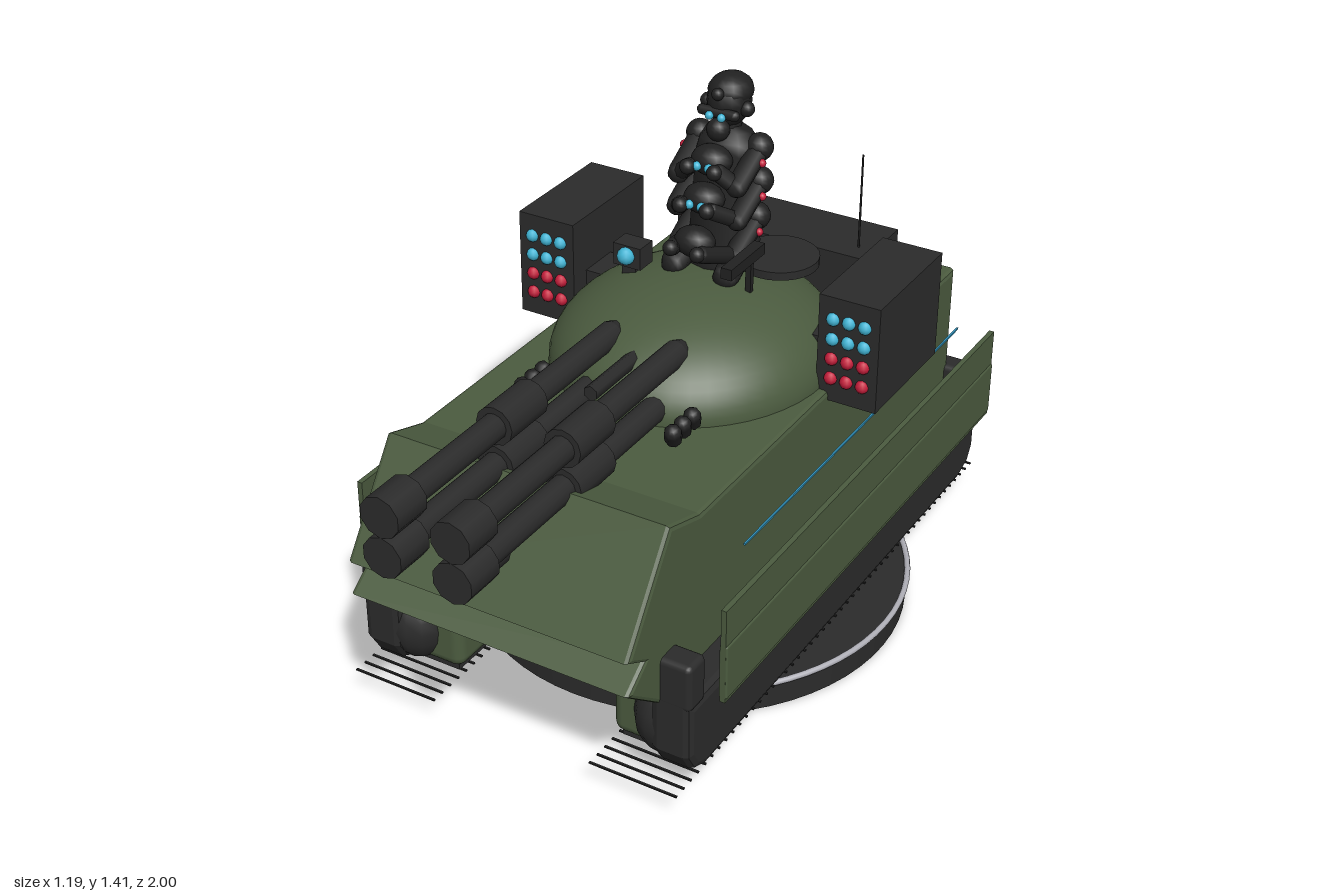
import * as THREE from 'three';
import { RoundedBoxGeometry } from 'three/addons/geometries/RoundedBoxGeometry.js';

const paint = (name, color) => Object.assign(new THREE.MeshStandardMaterial({ color }), { name });

export function createModel() {
  const root = new THREE.Group();
  root.name = 'armouredVehicle';
  const green = paint('olive green', 0x4b5b3f);
  const dark = paint('dark grey', 0x2b2b2b);
  const black = paint('near black', 0x212121);
  const cyan = paint('cyan', 0x3fb4d4);
  const red = paint('red', 0xc41c3a);
  const silver = paint('silver', 0xb0b0b8);
  const blue = paint('strip blue', 0x2f8fb8);

  const add = (name, geo, mat, x = 0, y = 0, z = 0, parent = root) => {
    const m = new THREE.Mesh(geo, mat);
    m.name = name;
    m.position.set(x, y, z);
    parent.add(m);
    return m;
  };
  const box = (name, mat, w, h, d, x, y, z, r = 0) =>
    add(name, r ? new RoundedBoxGeometry(w, h, d, 2, r) : new THREE.BoxGeometry(w, h, d), mat, x, y, z);
  // Cylinder along z between two depths
  const rod = (name, mat, r, x, y, z0, z1, sides = 12, rBack = r) =>
    add(name, new THREE.CylinderGeometry(r, rBack, z1 - z0, sides).rotateX(Math.PI / 2), mat, x, y, (z0 + z1) / 2);
  const ball = (name, mat, r, x, y, z, sx = 1, sy = 1, sz = 1) => {
    const m = add(name, new THREE.SphereGeometry(r, 14, 10), mat, x, y, z);
    m.scale.set(sx, sy, sz);
    return m;
  };
  // Capsule joining two points
  const limb = (name, mat, r, a, b) => {
    const p = new THREE.Vector3(...a), q = new THREE.Vector3(...b), d = q.clone().sub(p);
    const m = add(name, new THREE.CapsuleGeometry(r, d.length(), 4, 8), mat);
    m.position.copy(p).add(q).multiplyScalar(0.5);
    m.quaternion.setFromUnitVectors(new THREE.Vector3(0, 1, 0), d.normalize());
    return m;
  };
  // Side profile of (z, y) points pushed across x
  const slab = (name, mat, points, width, x, bevel = 0.012) => {
    const shape = new THREE.Shape(points.map(p => new THREE.Vector2(...p)));
    const depth = width - 2 * bevel;
    const geo = new THREE.ExtrudeGeometry(shape, {
      depth, bevelThickness: bevel, bevelSize: bevel, bevelOffset: -bevel, bevelSegments: 2,
    });
    geo.translate(0, 0, -depth / 2).rotateY(-Math.PI / 2);
    return add(name, geo, mat, x);
  };

  // Round display base
  add('base', new THREE.CylinderGeometry(0.583, 0.583, 0.066, 64), dark, 0, 0.033, -0.18);
  add('baseRim', new THREE.TorusGeometry(0.585, 0.008, 8, 72).rotateX(Math.PI / 2), silver, 0, 0.074, -0.18);

  // Hull with stepped nose
  slab('hull', green, [[-0.94, 0.285], [0.63, 0.285], [0.768, 0.395], [0.695, 0.448],
    [0.768, 0.488], [0.585, 0.752], [0.45, 0.71], [-0.94, 0.71]], 0.78, 0);
  box('belly', green, 0.6, 0.06, 1.5, 0, 0.275, -0.17);

  for (const s of [-1, 1]) {
    // Running gear
    box('wheelHousing', green, 0.2, 0.19, 1.5, s * 0.32, 0.19, -0.177, 0.03);
    box('trackBottom', dark, 0.2, 0.03, 1.46, s * 0.34, 0.095, -0.177);
    slab('track', dark, [[-0.9, 0.08], [0.55, 0.08], [0.6, 0.1], [0.63, 0.15], [0.63, 0.3],
      [-0.985, 0.3], [-0.985, 0.15], [-0.955, 0.1]], 0.11, s * 0.415, 0.02);
    for (const z of [0.53, -0.885]) ball('trackEnd', dark, 0.1, s * 0.365, 0.19, z, 0.9, 1.1, 1);
    for (let i = 0; i < 50; i++)
      box('trackCleat', black, 0.24, 0.004, 0.006, s * 0.345, 0.077, 0.68 - i * 0.034);
    // Fenders
    box('frontFender', dark, 0.13, 0.13, 0.075, s * 0.405, 0.35, 0.593, 0.015);
    box('rearFender', dark, 0.13, 0.13, 0.07, s * 0.405, 0.35, -0.95, 0.015);
    // Skirts and side strip
    box('sideSkirt', green, 0.014, 0.26, 1.495, s * 0.512, 0.42, -0.192);
    box('lowerSkirt', green, 0.022, 0.15, 1.495, s * 0.512, 0.375, -0.192, 0.005);
    box('sideStrip', blue, 0.005, 0.005, 1.19, s * 0.455, 0.595, -0.235);

    // Rear lamps
    for (const y of [0.672, 0.568]) rod('rearLamp', dark, 0.033, s * 0.275, y, -0.997, -0.93, 10);

    // Missile pods with a grid of coloured tips
    box('missilePod', dark, 0.165, 0.29, 0.35, s * 0.438, 0.83, -0.355);
    for (let row = 0; row < 4; row++)
      for (let col = -1; col < 2; col++)
        add('missileTip', new THREE.IcosahedronGeometry(0.018, 1), row < 2 ? cyan : red,
          s * (0.438 + col * 0.043), 0.915 - row * 0.055, -0.181);
    box('podArm', dark, 0.1, 0.06, 0.12, s * 0.32, 0.79, -0.3);

    // Paired cannons
    for (const y of [0.85, 0.745]) {
      rod('barrel', dark, 0.034, s * 0.093, y, 0.06, 0.93, 12);
      rod('barrelTail', dark, 0.034, s * 0.093, y, -0.02, 0.06, 12, 0.005);
      rod('barrelSleeve', dark, 0.05, s * 0.093, y, 0.415, 0.565, 12);
      rod('muzzle', dark, 0.053, s * 0.093, y, 0.895, 1, 10);
    }
    // Smoke launchers
    for (let i = 0; i < 3; i++)
      limb('smokeLauncher', black, 0.022, [s * 0.205, 0.75, 0.17 + i * 0.045], [s * 0.212, 0.775, 0.185 + i * 0.045]);
  }
  box('rearLightBar', red, 0.54, 0.012, 0.008, 0, 0.645, -0.992);

  // Turret
  const dome = add('turret', new THREE.SphereGeometry(1, 48, 16, 0, Math.PI * 2, 0, Math.PI / 2), green, 0, 0.71, -0.2);
  dome.scale.set(0.366, 0.212, 0.4);
  box('rearStowage', dark, 0.56, 0.155, 0.205, 0, 0.788, -0.688);
  rod('coaxialGun', dark, 0.02, 0, 0.83, 0.08, 0.3, 6);
  rod('noseGun', dark, 0.043, 0, 0.632, 0.71, 0.8, 12);
  rod('noseGunBarrel', dark, 0.024, 0, 0.632, 0.6, 0.74, 10);

  // Roof fittings
  add('hatch', new THREE.CylinderGeometry(0.105, 0.105, 0.022, 28), dark, 0.145, 0.935, -0.365);
  box('roofGun', black, 0.03, 0.03, 0.17, 0.14, 1.005, -0.185);
  box('roofGunPost', black, 0.015, 0.12, 0.015, 0.14, 0.94, -0.22);
  box('sight', dark, 0.08, 0.06, 0.06, -0.178, 0.945, -0.185);
  box('sightFoot', dark, 0.04, 0.05, 0.04, -0.178, 0.9, -0.185);
  add('sightLens', new THREE.IcosahedronGeometry(0.024, 1), cyan, -0.178, 0.948, -0.152);
  add('antenna', new THREE.CylinderGeometry(0.0025, 0.0035, 0.42, 6), black, 0.235, 0.92, -0.645);

  // Leaning figure: body, then tiers of folded arms
  const body = limb('body', black, 0.075, [0, 0.92, -0.31], [0, 1.21, -0.35]);
  body.scale.x = 1.15;
  limb('neck', black, 0.035, [0, 1.24, -0.35], [0, 1.32, -0.36]);
  ball('head', black, 0.06, 0, 1.34, -0.355, 0.92, 1.12, 1.05);
  ball('helmet', black, 0.06, 0, 1.365, -0.362, 0.95, 0.75, 1.05);
  limb('visor', black, 0.014, [-0.045, 1.325, -0.3], [0.045, 1.325, -0.3]);
  ball('brow', black, 0.016, 0, 1.375, -0.295);
  ball('chin', black, 0.03, 0, 1.28, -0.3);
  const tiers = [[1.02, 0.082, -0.12], [1.12, 0.088, -0.165], [1.21, 0.085, -0.2]];
  for (const s of [-1, 1]) {
    ball('earpiece', black, 0.02, s * 0.055, 1.33, -0.345);
    ball('eye', cyan, 0.011, s * 0.017, 1.32, -0.284);
    for (const [y, w, z] of tiers) {
      ball('shoulder', black, 0.036, s * w, y + 0.02, -0.36);
      limb('upperArm', black, 0.028, [s * w, y + 0.01, -0.35], [s * (w - 0.002), y - 0.045, -0.25]);
      limb('forearm', black, 0.022, [s * (w - 0.006), y - 0.045, -0.25], [s * 0.042, y - 0.01, z - 0.03]);
      ball('hand', black, 0.02, s * 0.038, y - 0.005, z - 0.015);
      ball('elbowLight', red, 0.011, s * (w + 0.026), y - 0.005, -0.325);
      if (y > 1.1) ball('chestLight', cyan, 0.012, s * 0.017, y - 0.003, z - 0.025);
    }
    limb('leg', black, 0.036, [s * 0.07, 0.98, -0.33], [s * 0.075, 0.93, -0.22]);
  }
  for (const [y, , z] of tiers) {
    ball('chestPlate', black, 0.05, 0, y, z - 0.07, 1.1, 0.8, 0.9);
    ball('backPlate', black, 0.06, 0, y, -0.375, 1.3, 0.8, 0.9);
  }
  return root;
}
